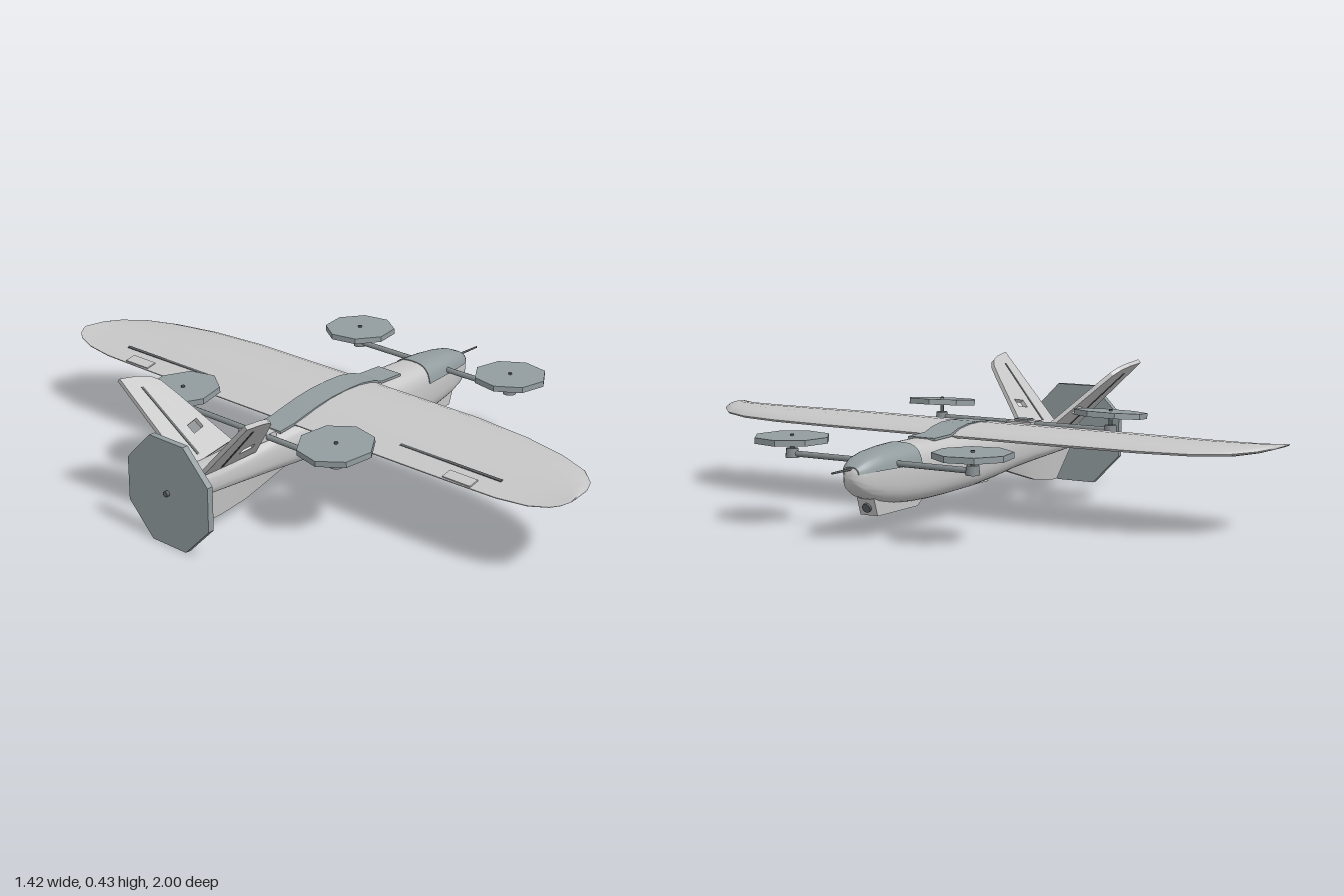
import * as THREE from 'three';
import { toCreasedNormals } from 'three/addons/utils/BufferGeometryUtils.js';

const mat = (name, color) => {
  const m = new THREE.MeshStandardMaterial({ color });
  m.name = name;
  return m;
};

// Skin closed cross-sections into a capped solid
function loft(rings, crease = 0.6) {
  const n = rings[0].length, pos = [], idx = [];
  rings.forEach(r => r.forEach(p => pos.push(...p)));
  for (let i = 0; i < rings.length - 1; i++)
    for (let j = 0; j < n; j++) {
      const a = i * n + j, b = i * n + (j + 1) % n;
      idx.push(a, b, b + n, a, b + n, a + n);
    }
  const last = (rings.length - 1) * n;
  for (let j = 1; j < n - 1; j++) idx.push(0, j + 1, j, last, last + j, last + j + 1);
  // Turn the faces outward if the enclosed volume is negative
  const v = i => new THREE.Vector3().fromArray(pos, i * 3);
  let vol = 0;
  for (let i = 0; i < idx.length; i += 3) vol += v(idx[i]).dot(v(idx[i + 1]).cross(v(idx[i + 2])));
  if (vol < 0) idx.reverse();
  const g = new THREE.BufferGeometry();
  g.setAttribute('position', new THREE.Float32BufferAttribute(pos, 3));
  g.setIndex(idx);
  return toCreasedNormals(g, crease);
}

// Fuselage stations: x, bottom, top, half width
const hull = [
  [-0.645, 0.14, 0.225, 0.046], [-0.53, 0.135, 0.225, 0.05], [-0.42, 0.13, 0.23, 0.055],
  [-0.32, 0.126, 0.247, 0.064], [-0.2, 0.12, 0.255, 0.073], [-0.08, 0.108, 0.262, 0.08],
  [0.05, 0.098, 0.267, 0.084], [0.2, 0.095, 0.27, 0.083], [0.3, 0.095, 0.271, 0.08],
  [0.37, 0.098, 0.271, 0.076], [0.45, 0.106, 0.269, 0.069], [0.52, 0.12, 0.263, 0.061],
  [0.57, 0.138, 0.253, 0.052], [0.6, 0.156, 0.24, 0.039], [0.617, 0.175, 0.228, 0.025],
  [0.625, 0.19, 0.214, 0.011],
];

// Rounded-square section between two angles
function section([x, lo, hi, w], from, to, steps, grow = 0) {
  const r = [], h = (hi - lo) / 2 + grow, e = 0.68;
  for (let i = 0; i < steps; i++) {
    const a = from + (to - from) * i / (steps - 1), c = Math.cos(a), s = Math.sin(a);
    r.push([x, (lo + hi) / 2 + h * Math.sign(s) * Math.abs(s) ** e,
      (w + grow) * Math.sign(c) * Math.abs(c) ** e]);
  }
  return r;
}

export function createModel() {
  const model = new THREE.Group();
  const body = mat('light grey body', 0xc6c6c6);
  const panel = mat('blue grey panel', 0x929c9f);
  const rod = mat('mid grey rod', 0x848b8d);
  const dark = mat('dark grey trim', 0x5c6062);

  const add = (name, geo, m, p = [0, 0, 0], r = [0, 0, 0]) => {
    const mesh = new THREE.Mesh(geo, m);
    mesh.name = name;
    mesh.position.set(...p);
    mesh.rotation.set(...r);
    model.add(mesh);
    return mesh;
  };
  const box = (name, size, m, p, r) => add(name, new THREE.BoxGeometry(...size), m, p, r);
  const plate = (points, depth, holes = []) => {
    const shape = new THREE.Shape(points.map(p => new THREE.Vector2(...p)));
    holes.forEach(h => shape.holes.push(new THREE.Path(h.map(p => new THREE.Vector2(...p)))));
    return new THREE.ExtrudeGeometry(shape, { depth, bevelEnabled: false }).translate(0, 0, -depth / 2);
  };

  // Fuselage and nose canopy
  const turn = Math.PI * 2;
  add('fuselage', loft(hull.map(s => section(s, 0, turn * 35 / 36, 36))), body);
  add('canopy', loft(hull.filter(s => s[0] > 0.36 && s[0] < 0.62)
    .map(s => section(s, 0.2, Math.PI - 0.2, 17, 0.003))), panel);

  // Wing: half-span stations are z, trailing x, leading x, thickness scale, base height
  const half = [
    [0, -0.228, 0.155, 1, 0.252], [0.45, -0.228, 0.152, 1, 0.252], [0.65, -0.225, 0.135, 0.97, 0.251],
    [0.8, -0.222, 0.103, 0.9, 0.251], [0.9, -0.21, 0.06, 0.76, 0.255], [0.96, -0.192, 0, 0.5, 0.264],
    [0.985, -0.175, -0.05, 0.32, 0.271], [1, -0.15, -0.13, 0.1, 0.278],
  ];
  const foil = [[0, 0.003], [0.12, 0.013], [0.25, 0.025], [0.42, 0.037], [0.6, 0.043], [0.76, 0.042],
    [0.9, 0.035], [0.97, 0.026], [1, 0.017], [0.97, 0.009], [0.88, 0.004], [0.6, 0.001], [0.25, -0.001], [0, 0]];
  const span = [...half.slice(1).reverse().map(([z, ...s]) => [-z, ...s]), ...half];
  add('wing', loft(span.map(([z, t, l, k, y]) =>
    foil.map(([f, h]) => [t + (l - t) * f, y + h * k, z])), 0.8), body);

  // Cover strip along the top of the fuselage and wing
  const ridge = [[-0.29, 0.252], [-0.23, 0.259], [-0.18, 0.271], [-0.12, 0.284], [-0.06, 0.293],
    [0.02, 0.298], [0.08, 0.297], [0.13, 0.289], [0.17, 0.276], [0.26, 0.274]];
  add('coverStrip', plate([...ridge, ...ridge.map(([x, y]) => [x, y - 0.008]).reverse()], 0.094), panel);

  // Paired details
  for (const s of [1, -1]) {
    box('aileronSlot', [0.009, 0.004, 0.37], dark, [-0.155, 0.271, s * 0.585], [0, 0, 0.27]);
    box('lowerAileronSlot', [0.009, 0.004, 0.37], dark, [-0.155, 0.251, s * 0.585]);
    box('servoHatch', [0.036, 0.006, 0.1], body, [-0.203, 0.26, s * 0.66], [0, 0, 0.22]);
    box('controlHorn', [0.03, 0.014, 0.012], rod, [-0.17, 0.246, s * 0.62]);
    box('flapFairing', [0.05, 0.01, 0.2], body, [-0.18, 0.249, s * 0.32]);

    // V tail fin with its opening and hinge slot
    const fin = plate([[-0.4, 0.07], [-0.45, 0.18], [-0.49, 0.27], [-0.515, 0.32], [-0.54, 0.342],
      [-0.58, 0.356], [-0.645, 0.367], [-0.605, 0.04]], 0.014,
    [[[-0.512, 0.132], [-0.518, 0.162], [-0.475, 0.172], [-0.468, 0.142]]]);
    add('tailFin', fin, body, [0, 0.18, 0], [s * Math.PI / 4, 0, 0]);
    add('rudderSlot', plate([[-0.535, 0.07], [-0.585, 0.32], [-0.593, 0.32], [-0.544, 0.07]], 0.017),
      dark, [0, 0.18, 0], [s * Math.PI / 4, 0, 0]);

    // Lift rotors on side arms
    for (const [end, x, armY, discY, tilt] of [['front', 0.475, 0.228, 0.272, 0], ['rear', -0.34, 0.25, 0.301, 0.09]]) {
      add(end + 'Arm', new THREE.CylinderGeometry(0.009, 0.009, 0.28, 10), rod,
        [x, armY, s * 0.18], [Math.PI / 2, 0, 0]);
      add(end + 'Motor', new THREE.CylinderGeometry(0.018, 0.021, 0.028, 12), rod, [x, armY + 0.002, s * 0.316]);
      add(end + 'MotorShaft', new THREE.CylinderGeometry(0.006, 0.006, discY - armY + 0.014, 8), dark,
        [x, (armY + discY) / 2 + 0.007, s * 0.316]);
      add(end + 'RotorDisc', toCreasedNormals(new THREE.CylinderGeometry(0.116, 0.116, 0.018, 8), 0.3), panel,
        [x, discY, s * 0.316], [0, 0.2 * s, tilt]);
    }
  }

  // Rear arm mount
  box('armMount', [0.07, 0.02, 0.09], body, [-0.34, 0.248, 0]);
  box('armClamp', [0.035, 0.02, 0.05], rod, [-0.34, 0.255, 0]);

  // Pusher propeller disc and shaft
  add('pusherDisc', toCreasedNormals(new THREE.CylinderGeometry(0.178, 0.178, 0.02, 8), 0.3), panel,
    [-0.695, 0.178, 0], [0, 0, Math.PI / 2]).rotation.x = Math.PI / 8;
  add('pusherShaft', new THREE.CylinderGeometry(0.009, 0.009, 0.08, 10), dark, [-0.675, 0.18, 0], [0, 0, Math.PI / 2]);

  // Ventral fin, tapering to a thin lower edge
  const keel = [[-0.64, 0.14, 0.02], [-0.545, 0.04, 0.016], [-0.5, 0.042, 0.016], [-0.4, 0.057, 0.018],
    [-0.3, 0.086, 0.02], [-0.2, 0.116, 0.02]];
  add('ventralFin', loft(keel.map(([x, y, w]) =>
    [[x, 0.15, -w], [x, 0.15, w], [x, y, w * 0.4], [x, y, -w * 0.4]])), body);

  // Belly skid, camera pod and probe
  add('bellySkid', plate([[0.295, 0.1], [0.325, 0.08], [0.53, 0.08], [0.552, 0.145], [0.3, 0.145]], 0.06), body);
  add('cameraLens', new THREE.CylinderGeometry(0.014, 0.014, 0.012, 16), dark, [0.539, 0.104, 0], [0, 0, Math.PI / 2 - 0.32]);
  add('bellyHatch', plate([[-0.08, 0.098], [0.01, 0.098], [0.02, 0.12], [-0.06, 0.12]], 0.05), body);
  add('noseProbe', new THREE.CylinderGeometry(0.003, 0.004, 0.11, 8), dark, [0.652, 0.225, 0], [0, 0, -Math.PI / 2]);
  return model;
}
